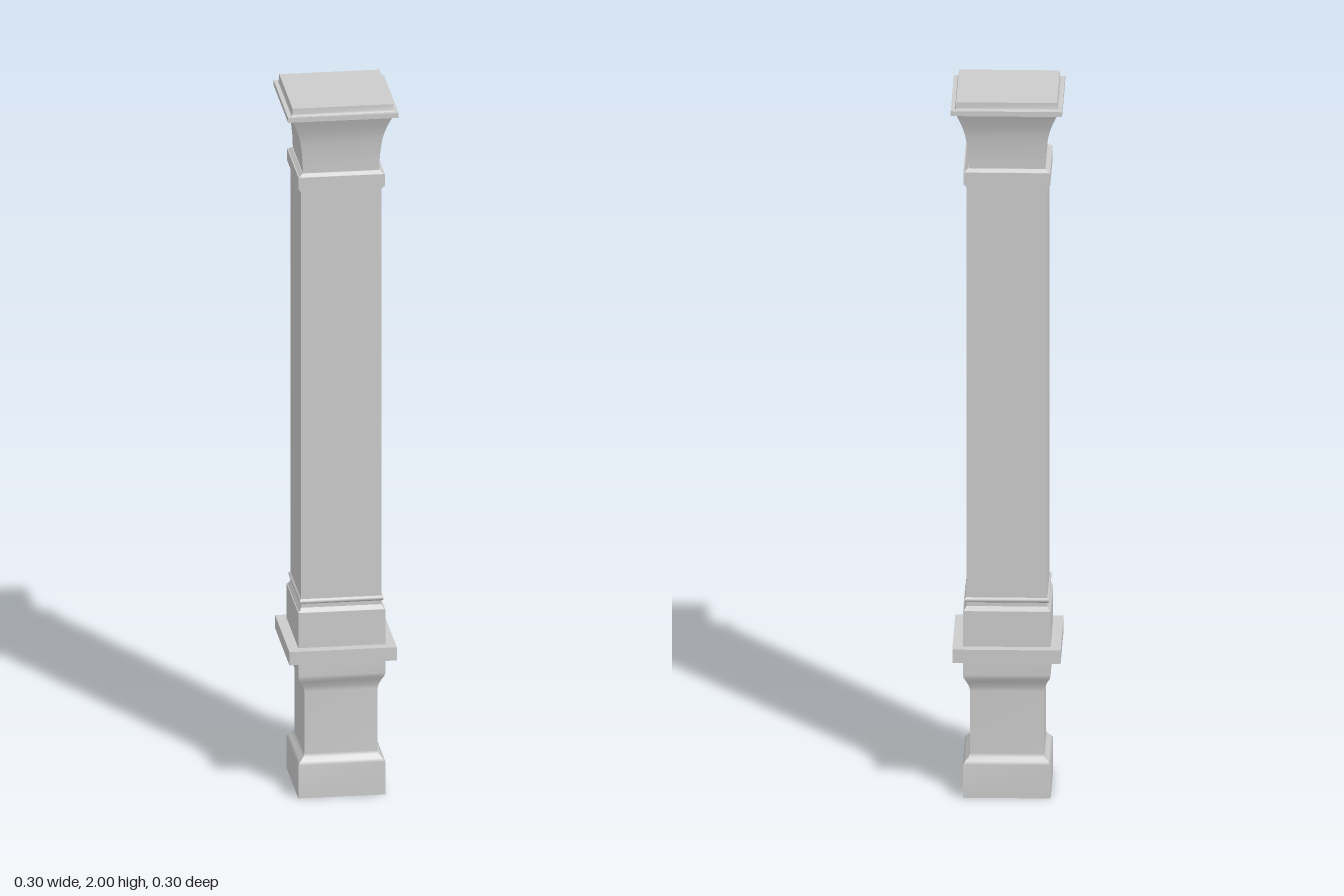
import * as THREE from 'three';
import { mergeGeometries } from 'three/addons/utils/BufferGeometryUtils.js';

const material = new THREE.MeshStandardMaterial({ color: 0xcccccc });

// Sweeps a profile of [halfWidth, height] points (bottom to top) around a square, closed by caps.
// Shading is smooth along each side and sharp at the four corners.
function squareSweep(profile) {
  const n = profile.length - 1;
  const parts = [];
  for (let side = 0; side < 4; side++) {
    const g = new THREE.PlaneGeometry(2, 1, 1, n);
    const p = g.attributes.position;
    for (let i = 0; i < p.count; i++) {
      const [half, y] = profile[n - Math.floor(i / 2)];
      p.setXYZ(i, p.getX(i) * half, y, half);
    }
    g.computeVertexNormals();
    parts.push(g.rotateY(side * Math.PI / 2));
  }
  const [bottomHalf, bottomY] = profile[0];
  const [topHalf, topY] = profile[n];
  parts.push(new THREE.PlaneGeometry(2 * bottomHalf, 2 * bottomHalf).rotateX(Math.PI / 2).translate(0, bottomY, 0));
  parts.push(new THREE.PlaneGeometry(2 * topHalf, 2 * topHalf).rotateX(-Math.PI / 2).translate(0, topY, 0));
  return mergeGeometries(parts);
}

export function createModel() {
  const column = new THREE.Group();
  column.name = 'column';

  const add = (name, profile) => {
    const mesh = new THREE.Mesh(squareSweep(profile), material);
    mesh.name = name;
    column.add(mesh);
  };
  const slab = (name, half, y0, y1) => add(name, [[half, y0], [half, y1]]);

  // Pedestal: flared foot, narrow waist and curved shoulder
  add('pedestal', [
    [0.119, 0], [0.119, 0.095], [0.113, 0.103], [0.103, 0.113], [0.1, 0.122],
    [0.1, 0.3], [0.103, 0.314], [0.11, 0.33], [0.117, 0.342], [0.119, 0.352], [0.119, 0.398],
  ]);
  slab('pedestalLedge', 0.147, 0.396, 0.434);

  // Plinth and bead under the shaft
  slab('plinth', 0.119, 0.434, 0.535);
  add('plinthSlope', [[0.117, 0.535], [0.11, 0.547]]);
  add('shaftBead', [[0.11, 0.558], [0.114, 0.561], [0.115, 0.565], [0.114, 0.569], [0.11, 0.572]]);
  slab('shaft', 0.11, 0.53, 1.77);

  // Neck band with thin trims above and below
  slab('neckBandLowerTrim', 0.113, 1.75, 1.757);
  slab('neckBand', 0.118, 1.757, 1.792);
  add('neckBandUpperTrim', [[0.115, 1.792], [0.106, 1.8]]);

  // Flared capital following a concave curve
  const flare = new THREE.SplineCurve([
    [0.104, 1.79], [0.106, 1.84], [0.113, 1.895], [0.124, 1.932], [0.138, 1.966],
  ].map(([x, y]) => new THREE.Vector2(x, y)));
  add('capital', flare.getPoints(14).map(p => [p.x, p.y]));

  // Projecting abacus and top block
  slab('abacus', 0.151, 1.965, 1.979);
  add('topBlock', [[0.14, 1.979], [0.137, 1.984], [0.137, 2]]);

  return column;
}
